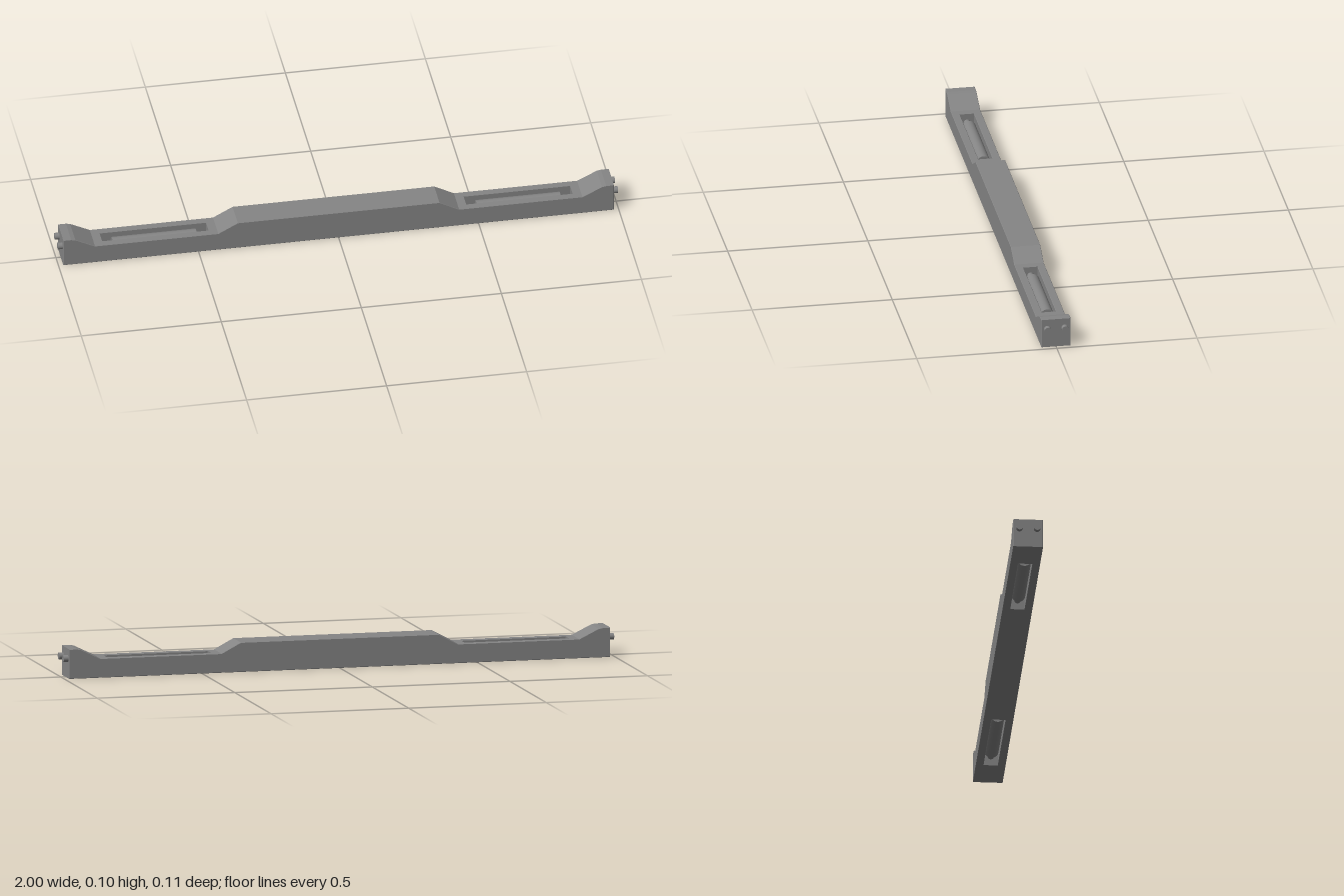
import * as THREE from 'three';

const HALF_DEPTH = 0.0525, SLOT_HALF = 0.025, BEVEL = 0.0015;
const SLOT_IN = 0.46, SLOT_OUT = 0.84, END = 0.983;
const HIGH = 0.105, LOW = 0.068;

// Upper outline of the right half, from the middle to the end
const HALF_TOP = [[0.36, HIGH], [0.43, LOW], [0.87, LOW], [0.94, 0.102], [0.955, HIGH], [END, HIGH]];

const mat = () => new THREE.MeshStandardMaterial({ color: 0x858585 });

function addExtrusion(group, name, points, z0, z1, bevel) {
  const shape = new THREE.Shape(points.map(([x, y]) => new THREE.Vector2(x, y)));
  const geo = new THREE.ExtrudeGeometry(shape, {
    depth: z1 - z0 - 2 * bevel, bevelEnabled: bevel > 0,
    bevelThickness: bevel, bevelSize: bevel, bevelOffset: -bevel, bevelSegments: 1,
  });
  geo.translate(0, 0, z0 + bevel);
  const mesh = new THREE.Mesh(geo, mat());
  mesh.name = name;
  group.add(mesh);
}

function addRod(group, name, radius, x0, x1, y, z) {
  const geo = new THREE.CylinderGeometry(radius, radius, x1 - x0, 32).rotateZ(Math.PI / 2);
  const mesh = new THREE.Mesh(geo, mat());
  mesh.name = name;
  mesh.position.set((x0 + x1) / 2, y, z);
  group.add(mesh);
}

export function createModel() {
  const model = new THREE.Group();
  model.name = 'rollerBeam';
  const mirror = pts => pts.map(([x, y]) => [-x, y]).reverse();

  // Front and back rails carry the whole stepped outline
  const outline = [[-END, 0], [END, 0], ...[...HALF_TOP].reverse(), ...mirror(HALF_TOP).reverse()];
  addExtrusion(model, 'frontRail', outline, SLOT_HALF, HALF_DEPTH, BEVEL);
  addExtrusion(model, 'backRail', outline, -HALF_DEPTH, -SLOT_HALF, BEVEL);

  // Solid core between the rails, leaving the two slots open
  const core = SLOT_HALF + BEVEL + 0.004;
  const midTop = [[SLOT_IN, LOW], [0.43, LOW], [0.36, HIGH]];
  addExtrusion(model, 'middleCore',
    [[-SLOT_IN, 0], [SLOT_IN, 0], ...midTop, ...mirror(midTop)], -core, core, 0);
  const end = [[SLOT_OUT, 0], [END, 0], ...HALF_TOP.slice(2).reverse(), [SLOT_OUT, LOW]];
  addExtrusion(model, 'leftEndCore', end, -core, core, 0);
  addExtrusion(model, 'rightEndCore', mirror(end), -core, core, 0);

  for (const [side, s] of [['left', 1], ['right', -1]]) {
    // Roller filling the slot's width, on a thin axle
    const span = (a, b) => (s > 0 ? [a, b] : [-b, -a]);
    addRod(model, side + 'Roller', 0.0245, ...span(0.5, 0.8), 0.035, 0);
    addRod(model, side + 'Axle', 0.012, ...span(SLOT_IN - 0.01, SLOT_OUT + 0.01), 0.035, 0);
    // Pair of locating pegs on the end face
    for (const z of [-0.031, 0.031]) addRod(model, side + 'Peg', 0.012, ...span(0.97, 1), 0.07, z);
  }
  return model;
}
